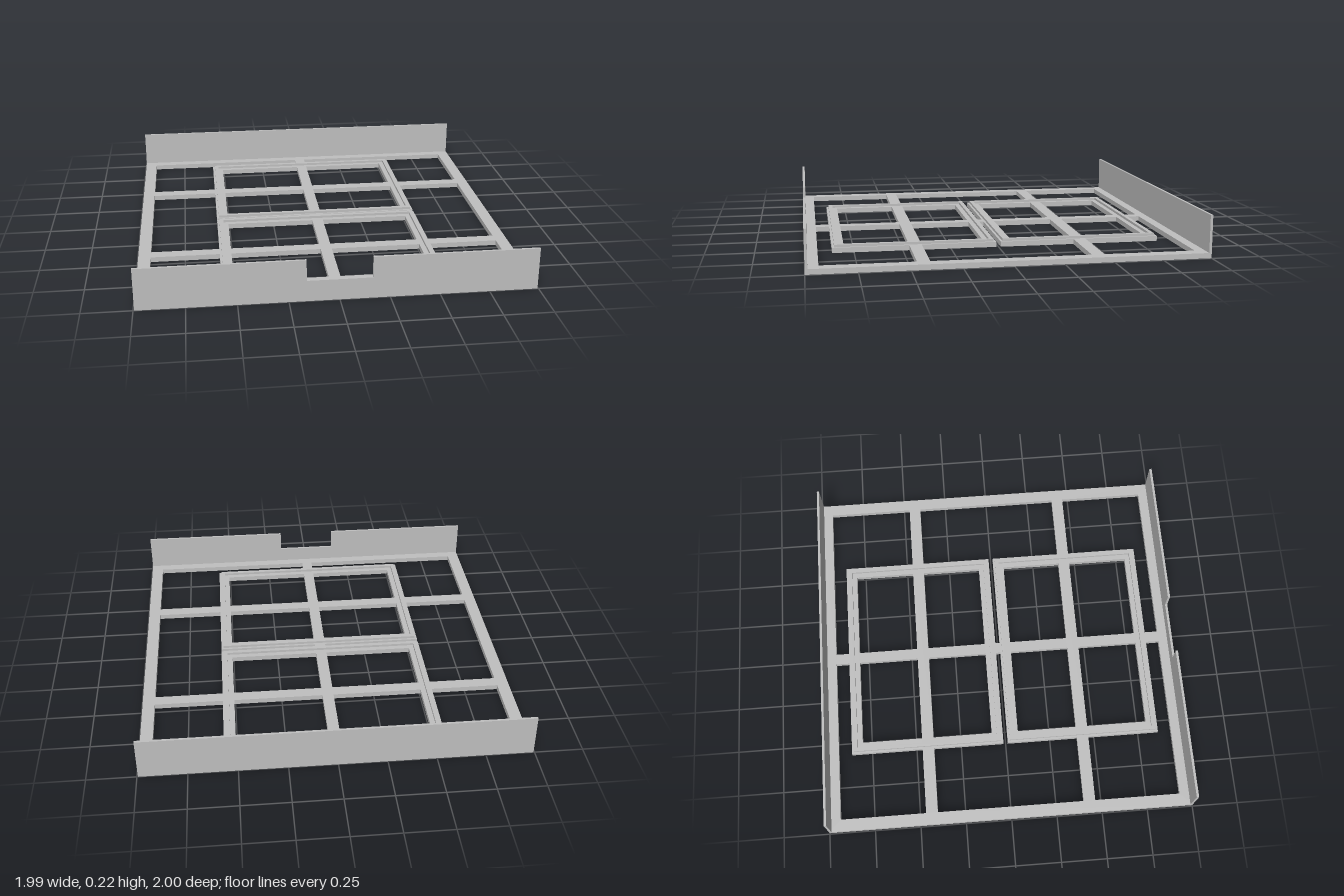
import * as THREE from 'three';

const W = 0.995, D = 1;            // outer half width and half depth
const BAR = 0.03;                  // half width of the centre bar
const IX = 0.93, IZ = 0.935;       // inner edge of the border
const C0 = 0.402, C1 = 0.467;      // cross bar edges
const RX = 0.568, R0 = 0.012, R1 = 0.862; // tray ring outer edges
const RIM = 0.062;                 // tray ring width
const BASE = 0.027, LIP = 0.04, TOP = 0.22, WALL = 0.013;

const outline = (points) => points.map(([x, y]) => new THREE.Vector2(x, y));
const rect = (x0, y0, x1, y1) => outline([[x0, y0], [x1, y0], [x1, y1], [x0, y1]]);

// Extrude a shape with holes upward from the floor plane
function slab(points, holes, height, material, name) {
  const shape = new THREE.Shape(points);
  shape.holes = holes.map((h) => new THREE.Path(h));
  const geometry = new THREE.ExtrudeGeometry(shape, { depth: height, bevelEnabled: false });
  geometry.rotateX(-Math.PI / 2);
  const mesh = new THREE.Mesh(geometry, material);
  mesh.name = name;
  return mesh;
}

export function createModel() {
  const group = new THREE.Group();
  group.name = 'trayFrame';
  const grey = new THREE.MeshStandardMaterial({ color: 0xc0c0c0 });
  grey.name = 'grey';

  // Openings of the flat lattice, mirrored into every quadrant
  const holes = [];
  for (const sx of [-1, 1]) {
    for (const sy of [-1, 1]) {
      const flip = (pts) => outline(pts.map(([x, y]) => [x * sx, y * sy]));
      holes.push(flip([[BAR, IZ], [IX, IZ], [IX, C1], [RX, C1], [RX, R1], [BAR, R1]]));
      for (const [a, b] of [[R0 + RIM, C0], [C1, R1 - RIM]]) {
        holes.push(flip([[BAR, a], [RX - RIM, a], [RX - RIM, b], [BAR, b]]));
      }
    }
    holes.push(outline([
      [BAR, -R0], [RX, -R0], [RX, -C0], [IX, -C0],
      [IX, C0], [RX, C0], [RX, R0], [BAR, R0],
    ].map(([x, y]) => [x * sx, y])));
  }
  group.add(slab(rect(-W, -D, W, D), holes, BASE, grey, 'baseLattice'));

  // Raised lip around each tray ring
  const a = 0.012, b = 0.034;
  for (const [y0, y1, name] of [[R0, R1, 'backTrayLip'], [-R1, -R0, 'frontTrayLip']]) {
    const lip = slab(
      rect(-RX + a, y0 + a, RX - a, y1 - a),
      [rect(-RX + b, y0 + b, RX - b, y1 - b)],
      LIP - BASE, grey, name,
    );
    lip.position.y = BASE;
    group.add(lip);
  }

  // Upright end walls; the front one has a notch
  const wall = (points, z, name) => {
    const geometry = new THREE.ExtrudeGeometry(new THREE.Shape(outline(points)), { depth: WALL, bevelEnabled: false });
    const mesh = new THREE.Mesh(geometry, grey);
    mesh.name = name;
    mesh.position.z = z;
    group.add(mesh);
  };
  const N = 0.163, NY = 0.11;
  wall([[-W, BASE], [W, BASE], [W, TOP], [-W, TOP]], -D, 'backWall');
  wall([[-W, BASE], [W, BASE], [W, TOP], [N, TOP], [N, NY], [-N, NY], [-N, TOP], [-W, TOP]], D - WALL, 'frontWall');

  return group;
}
